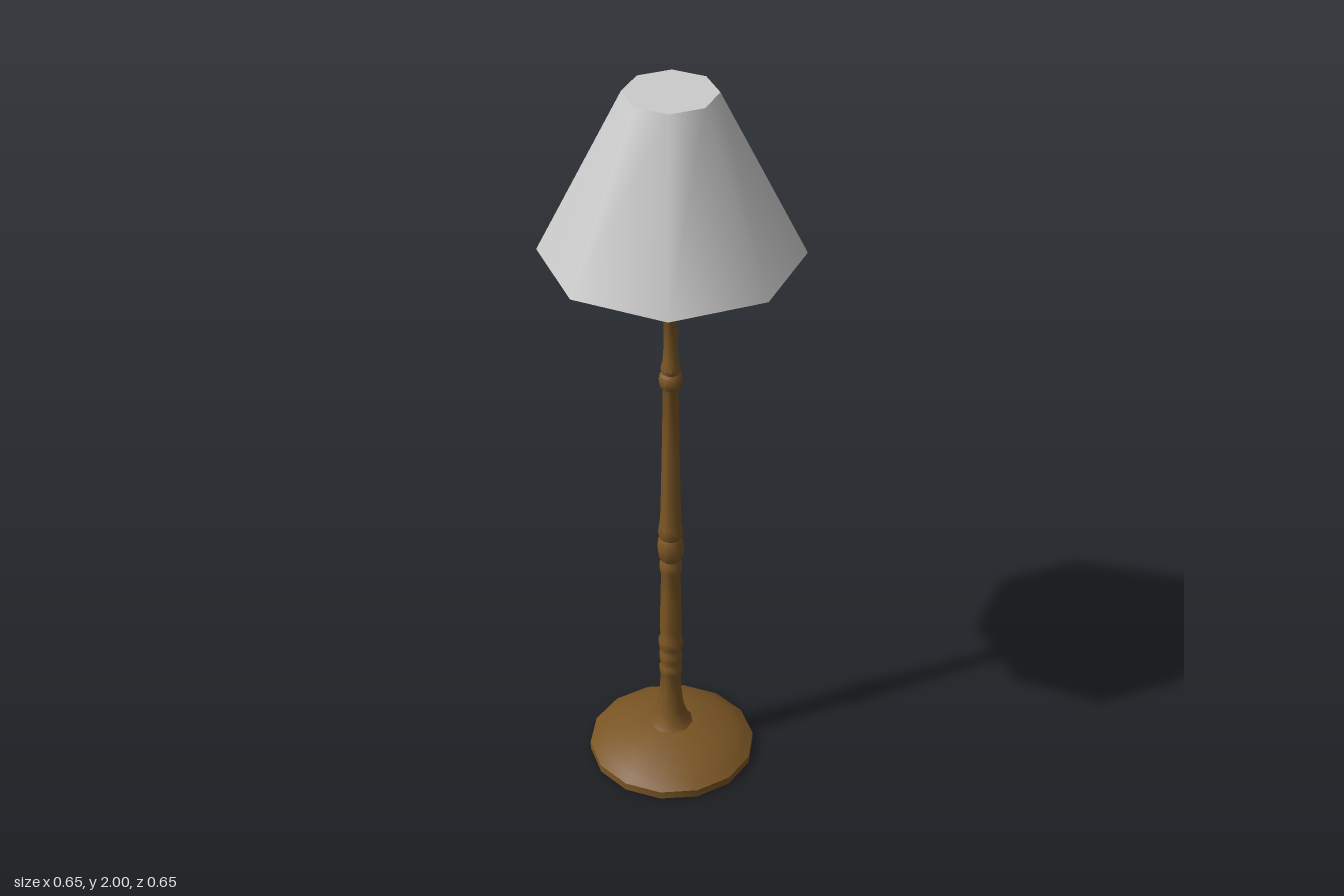
import * as THREE from 'three';
import { toCreasedNormals } from 'three/addons/utils/BufferGeometryUtils.js';

const AXIS_X = -0.004; // the stem sits a hair off centre

export function createModel() {
  const lamp = new THREE.Group();
  lamp.name = 'floorLamp';

  const wood = new THREE.MeshStandardMaterial({ color: 0x7a5524 });
  const orange = new THREE.MeshStandardMaterial({ color: 0xe87a10 });
  const grey = new THREE.MeshStandardMaterial({ color: 0xcccccc });
  const cloth = new THREE.MeshStandardMaterial({ color: 0xcccccc, side: THREE.DoubleSide });

  const add = (name, geometry, material, x = 0, y = 0) => {
    const mesh = new THREE.Mesh(geometry, material);
    mesh.name = name;
    mesh.position.set(x, y, 0);
    lamp.add(mesh);
    return mesh;
  };
  // Turned part from [radius, height] pairs, bottom to top
  const turned = (profile, sides, crease = 0.8) => toCreasedNormals(
    new THREE.LatheGeometry(profile.map(([r, y]) => new THREE.Vector2(r, y)), sides), crease);

  // Round foot, closed underneath
  add('base', turned([
    [0, 0], [0.225, 0], [0.225, 0.022], [0.205, 0.037], [0.182, 0.052],
    [0.13, 0.072], [0.065, 0.092], [0, 0.092],
  ], 14), wood);

  // Pad under the foot
  const pad = add('basePad', new THREE.CircleGeometry(0.108, 8), grey, 0, -0.0005);
  pad.rotation.x = Math.PI / 2;

  // Turned column: flared foot, beads, long taper and cup
  add('column', turned([
    [0.064, 0.088], [0.05, 0.105], [0.04, 0.135], [0.033, 0.17], [0.03, 0.205], [0.028, 0.26],
    [0.031, 0.268], [0.031, 0.285], [0.027, 0.295], [0.031, 0.31], [0.031, 0.33], [0.027, 0.342],
    [0.033, 0.358], [0.033, 0.376], [0.028, 0.39],
    [0.03, 0.42], [0.028, 0.5], [0.026, 0.6],
    [0.03, 0.612], [0.03, 0.632], [0.025, 0.645], [0.033, 0.66], [0.036, 0.685], [0.033, 0.71],
    [0.029, 0.718], [0.034, 0.73], [0.031, 0.755], [0.028, 0.775],
    [0.026, 0.85], [0.023, 1.0], [0.02, 1.18],
    [0.029, 1.193], [0.031, 1.207], [0.028, 1.222], [0.022, 1.228], [0.026, 1.24], [0.021, 1.26],
    [0.018, 1.3], [0.018, 1.38], [0.023, 1.39], [0.023, 1.405], [0.018, 1.418],
    [0.02, 1.46], [0.023, 1.5], [0.028, 1.505], [0.028, 1.518], [0.024, 1.525],
    [0.044, 1.545], [0.049, 1.56], [0.042, 1.578], [0, 1.58],
  ], 10), wood, AXIS_X);

  // Bulb widening upward to a domed top
  add('bulb', turned([
    [0.036, 1.575], [0.042, 1.6], [0.064, 1.74], [0.067, 1.77],
    [0.06, 1.805], [0.04, 1.83], [0, 1.842],
  ], 10), orange, AXIS_X);

  // Eight-sided shade, top ring shifted onto the stem axis
  const bottom = 1.575, height = 2 - bottom;
  const shade = new THREE.CylinderGeometry(0.115, 0.327, height, 8, 1, true);
  const p = shade.attributes.position;
  for (let i = 0; i < p.count; i++) if (p.getY(i) > 0) p.setX(i, p.getX(i) + AXIS_X);
  add('shade', shade, cloth, 0, bottom + height / 2);

  // Flat lid closing the shade
  const lid = add('shadeTop', new THREE.CircleGeometry(0.115, 8), cloth, AXIS_X, 2);
  lid.rotation.x = -Math.PI / 2;

  return lamp;
}
